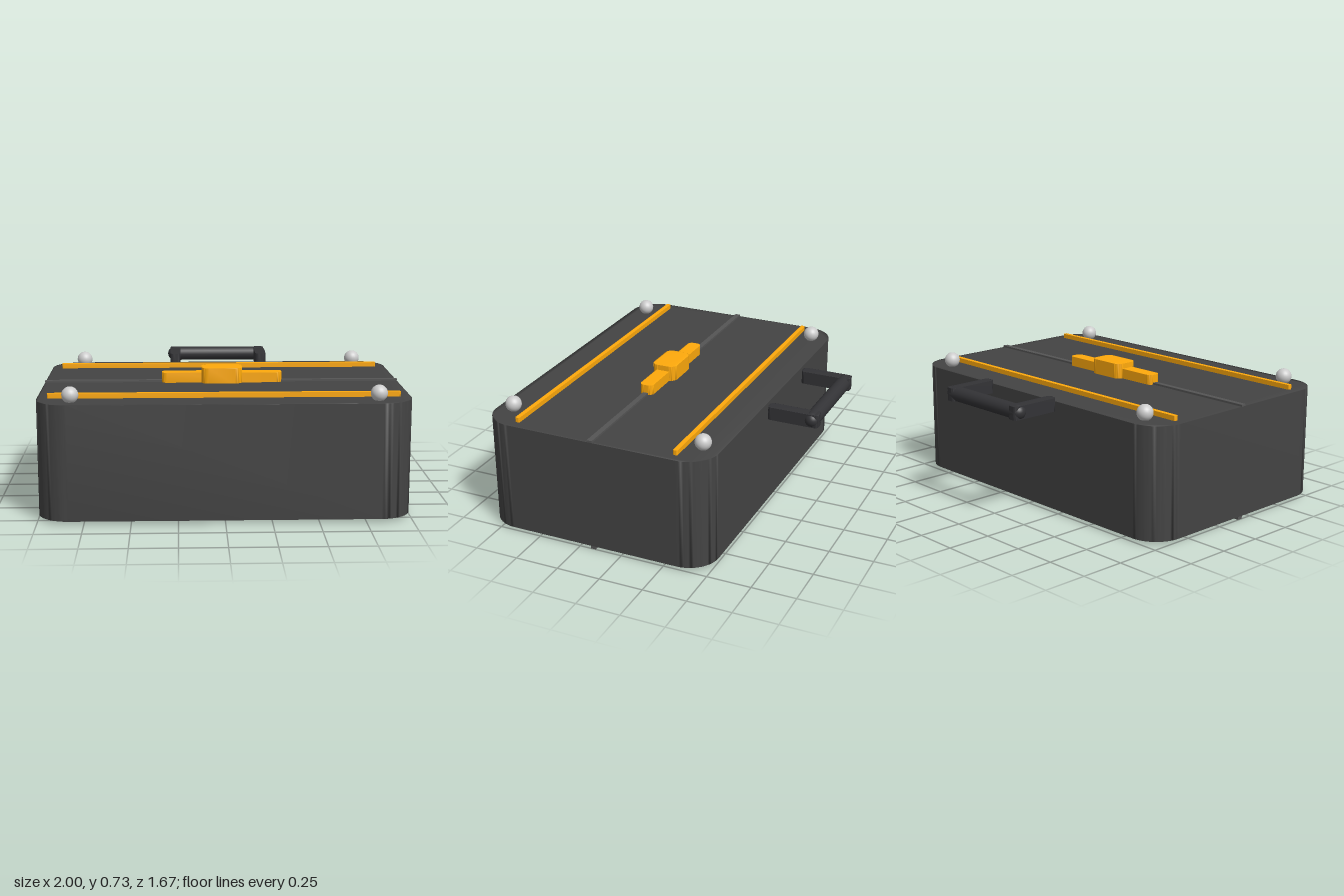
import * as THREE from 'three';
import { mergeVertices } from 'three/addons/utils/BufferGeometryUtils.js';

const CZ = 0.17; // centre line of the case

const dark = new THREE.MeshStandardMaterial({ color: 0x444444 });
const seamGrey = new THREE.MeshStandardMaterial({ color: 0x555555 });
const black = new THREE.MeshStandardMaterial({ color: 0x333336 });
const gold = new THREE.MeshStandardMaterial({ color: 0xffaa0c });
const grey = new THREE.MeshStandardMaterial({ color: 0xcccccc });

// Upright slab with rounded plan corners, softly shaded over its edges
function slab(width, depth, radius, y0, y1) {
  const x = width / 2, z = depth / 2, r = radius;
  const shape = new THREE.Shape();
  shape.absarc(x - r, z - r, r, 0, Math.PI / 2);
  shape.absarc(-x + r, z - r, r, Math.PI / 2, Math.PI);
  shape.absarc(-x + r, -z + r, r, Math.PI, Math.PI * 1.5);
  shape.absarc(x - r, -z + r, r, Math.PI * 1.5, Math.PI * 2);
  shape.closePath();
  let geometry = new THREE.ExtrudeGeometry(shape, {
    depth: y1 - y0, bevelEnabled: false, curveSegments: 10,
  });
  geometry.rotateX(-Math.PI / 2).translate(0, y0, 0);
  geometry.deleteAttribute('normal');
  geometry.deleteAttribute('uv');
  geometry = mergeVertices(geometry, 1e-4);
  geometry.computeVertexNormals();
  return geometry;
}

export function createModel() {
  const model = new THREE.Group();
  model.name = 'case';

  function add(name, geometry, material, x, y, z, parent = model) {
    const mesh = new THREE.Mesh(geometry, material);
    mesh.name = name;
    mesh.position.set(x, y, z);
    parent.add(mesh);
    return mesh;
  }

  // Case body and the seam strip running through it
  add('body', slab(2, 1.332, 0.17, 0.017, 0.643), dark, 0, 0, CZ);
  add('seamStrip', new THREE.BoxGeometry(1.999, 0.654, 0.03), seamGrey, 0, 0.327, CZ);

  // Clasp: long plate with a raised block in the middle
  const clasp = new THREE.Group();
  clasp.name = 'clasp';
  model.add(clasp);
  add('claspPlate', slab(0.678, 0.08, 0.028, 0.63, 0.7), gold, 0, 0, CZ, clasp);
  add('claspBlock', slab(0.23, 0.146, 0.04, 0.63, 0.73), gold, 0, 0, CZ, clasp);

  // Trim rails and corner studs, mirrored about the seam
  const rail = slab(1.89, 0.026, 0.008, 0.63, 0.67);
  const stud = new THREE.SphereGeometry(0.045, 24, 16);
  for (const side of [-1, 1]) {
    add('trimRail', rail, gold, 0, 0, CZ + side * 0.467);
    for (const x of [-0.815, 0.815]) {
      add('cornerStud', stud, grey, x, 0.68, CZ + side * 0.567);
    }
  }

  // Handle at the back: round-ended grip with two flat arms
  const handle = new THREE.Group();
  handle.name = 'handle';
  model.add(handle);
  const grip = new THREE.CapsuleGeometry(0.042, 0.54, 8, 24).rotateZ(Math.PI / 2);
  add('handleGrip', grip, black, 0, 0.648, -0.794, handle);
  const arm = slab(0.064, 0.29, 0.02, 0.611, 0.685);
  for (const x of [-0.265, 0.265]) {
    add('handleArm', arm, black, x, 0, -0.69, handle);
  }

  return model;
}
